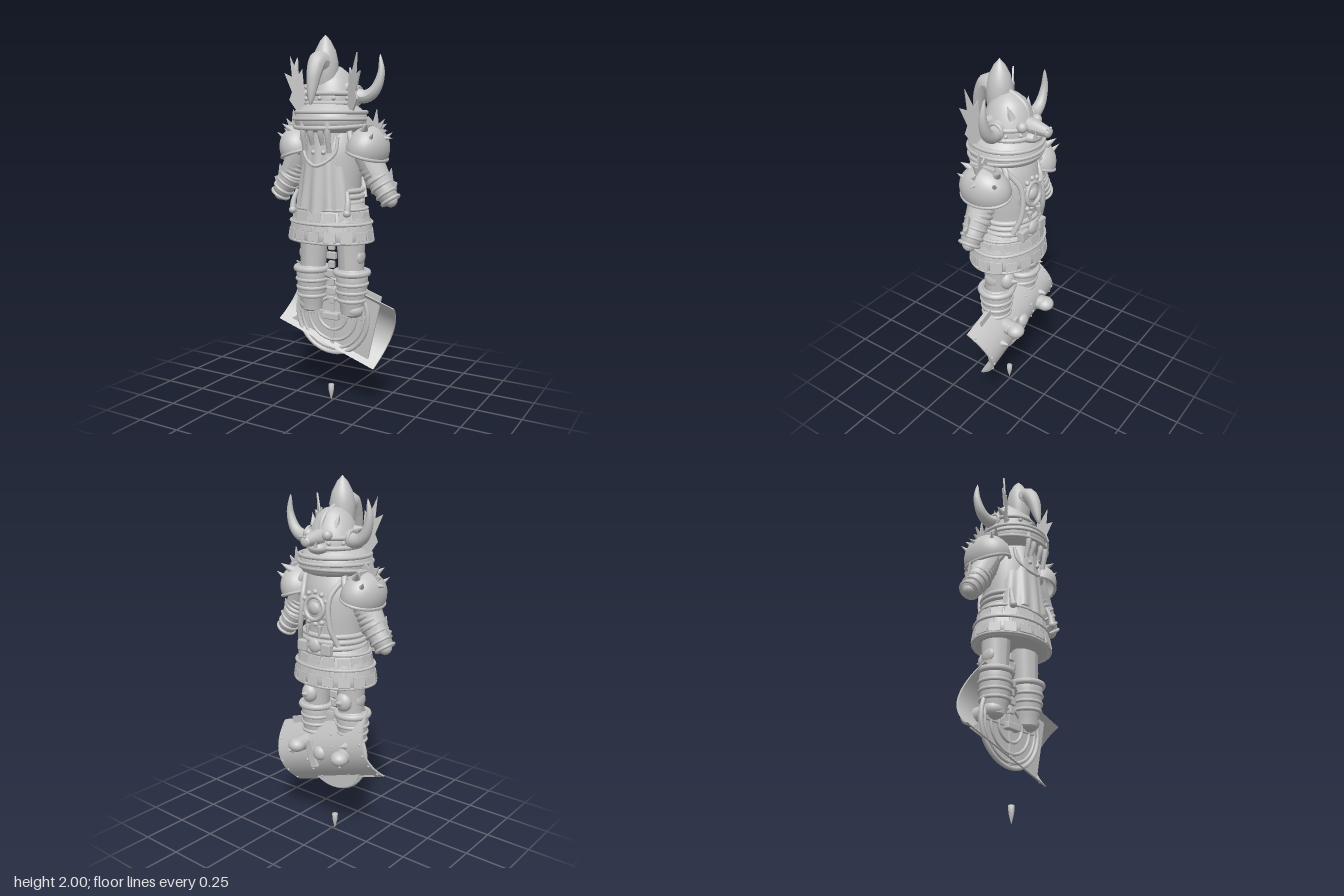
import * as THREE from 'three';
import { RoundedBoxGeometry } from 'three/addons/geometries/RoundedBoxGeometry.js';

const clay = new THREE.MeshStandardMaterial({ color: 0xc4c4c4, side: THREE.DoubleSide });
clay.name = 'clay grey';
const V = (x, y, z) => new THREE.Vector3(x, y, z);

export function createModel() {
  const root = new THREE.Group();
  root.name = 'hornedWarrior';

  const add = (name, geo, x = 0, y = 0, z = 0, parent = root) => {
    const m = new THREE.Mesh(geo, clay);
    m.name = name;
    m.position.set(x, y, z);
    parent.add(m);
    return m;
  };
  const group = (name, parent = root) => {
    const g = new THREE.Group();
    g.name = name;
    parent.add(g);
    return g;
  };
  const ball = (name, r, x, y, z, p = root, sx = 1, sy = 1, sz = 1) => {
    const m = add(name, new THREE.SphereGeometry(r, 20, 14), x, y, z, p);
    m.scale.set(sx, sy, sz);
    return m;
  };
  const lathe = (name, pts, x, y, z, p = root, sx = 1, sz = 1) => {
    const m = add(name, new THREE.LatheGeometry(pts.map(q => new THREE.Vector2(...q)), 40), x, y, z, p);
    m.scale.set(sx, 1, sz);
    return m;
  };
  const ring = (name, R, r, x, y, z, p = root, sx = 1, sz = 1) => {
    const g = new THREE.TorusGeometry(R, r, 8, 40).rotateX(Math.PI / 2);
    const m = add(name, g, x, y, z, p);
    m.scale.set(sx, 1, sz);
    return m;
  };
  const box = (name, w, h, d, x, y, z, p = root) =>
    add(name, new RoundedBoxGeometry(w, h, d, 1, Math.min(w, h, d) * 0.2), x, y, z, p);
  // Cone standing at a point and aimed along a direction
  const spike = (name, r, len, pos, dir, p = root) => {
    const m = add(name, new THREE.ConeGeometry(r, len, 12).translate(0, len / 2, 0), pos.x, pos.y, pos.z, p);
    m.quaternion.setFromUnitVectors(V(0, 1, 0), dir.clone().normalize());
    return m;
  };
  // Tube whose radius follows a rule along its path
  const taper = (name, pts, radius, p = root) => {
    const n = 24, s = 14;
    const curve = new THREE.CatmullRomCurve3(pts.map(q => V(...q)));
    const g = new THREE.TubeGeometry(curve, n, 1, s);
    const a = g.attributes.position, v = V(0, 0, 0);
    for (let i = 0; i <= n; i++) {
      const c = curve.getPointAt(i / n);
      for (let j = 0; j <= s; j++) {
        const k = i * (s + 1) + j;
        v.fromBufferAttribute(a, k).sub(c).multiplyScalar(radius(i / n)).add(c);
        a.setXYZ(k, v.x, v.y, v.z);
      }
    }
    g.computeVertexNormals();
    return add(name, g, 0, 0, 0, p);
  };
  const plate = (pts, depth) => new THREE.ExtrudeGeometry(
    new THREE.Shape(pts.map(q => new THREE.Vector2(...q))), { depth, bevelEnabled: false }).translate(0, 0, -depth / 2);

  // Torso and waist wraps
  lathe('torso', [[0.001, 1.0], [0.145, 1.0], [0.145, 1.12], [0.15, 1.25], [0.16, 1.38], [0.14, 1.48], [0.1, 1.55]], -0.01, 0, 0.01, root, 1.1, 0.97);
  for (let i = 0; i < 4; i++) ring('waistBand', 0.15, 0.014, -0.01, 1.1 + i * 0.032, 0.01, root, 1.13, 1);

  // Flared skirt with rows of thin plates
  lathe('skirt', [[0.145, 1.13], [0.162, 1.09], [0.178, 1.03], [0.188, 0.97], [0.188, 0.925], [0.165, 0.92], [0.001, 0.95]], -0.01, 0, 0.016, root, 1.27, 1);
  [[0.181, 1.025], [0.187, 0.928], [0.16, 1.1]].forEach(([r, y]) => ring('skirtTrim', r, 0.008, -0.01, y, 0.016, root, 1.27, 1));
  for (let row = 0; row < 3; row++) {
    for (let i = 0; i < 16; i++) {
      const a = (i + row * 0.5) / 16 * Math.PI * 2, r = 0.186 - row * 0.01;
      const m = box('skirtPlate', 0.066, 0.05 + (i % 3) * 0.006, 0.012, Math.sin(a) * r * 1.26 - 0.01, 0.96 + row * 0.05, Math.cos(a) * r + 0.016);
      m.rotation.set(-0.15, Math.atan2(Math.sin(a), Math.cos(a) * 1.26), 0, 'YXZ');
    }
  }

  // Draped cape with folds and a round collar
  const cape = new THREE.CylinderGeometry(0.15, 0.19, 0.43, 48, 10, true, -1.1, 2.2);
  const cp = cape.attributes.position;
  for (let i = 0; i < cp.count; i++) {
    const x = cp.getX(i), y = cp.getY(i), z = cp.getZ(i), t = (0.215 - y) / 0.43;
    const a = Math.atan2(x, z), f = 1 + 0.045 * t * Math.cos(a * 14);
    cp.setXYZ(i, x * f * (0.82 + 0.2 * t), y - (t > 0.9 ? 0.015 * Math.cos(a * 7) : 0), z * f);
  }
  cape.computeVertexNormals();
  add('cape', cape, -0.01, 1.31, 0.008);
  taper('capeCollar', [[-0.11, 1.48, 0.12], [-0.1, 1.39, 0.14], [-0.01, 1.33, 0.18], [0.08, 1.39, 0.14], [0.09, 1.48, 0.12]], () => 0.009);
  for (const s of [-1, 1]) {
    taper('hangingTassel', [[s * 0.15, 1.2, 0.13], [s * 0.165, 1.14, 0.15], [s * 0.165, 1.08, 0.16]], t => 0.01 + 0.008 * t);
    ball('tasselBead', 0.02, s * 0.165, 1.09, 0.16);
    ball('capeStud', 0.013, s * 0.03, 1.4, 0.165);
  }

  // Chest ornament on the breastplate
  const chest = group('chestOrnament');
  ball('breastplate', 0.14, -0.005, 1.34, -0.02, chest, 1, 1.1, 0.95);
  const medal = add('medallionRing', new THREE.TorusGeometry(0.06, 0.012, 8, 30), 0, 1.34, -0.145, chest);
  medal.rotation.x = 0.1;
  ball('medallion', 0.04, 0, 1.34, -0.135, chest, 1, 1, 0.7);
  for (let i = 0; i < 12; i++) {
    const a = i / 12 * Math.PI * 2;
    ball('medallionBead', 0.014, Math.cos(a) * 0.085, 1.34 + Math.sin(a) * 0.085, -0.135, chest);
  }
  for (const s of [-1, 1]) {
    taper('chestStrap', [[s * 0.13, 1.5, -0.06], [s * 0.09, 1.4, -0.13], [s * 0.1, 1.25, -0.14], [s * 0.13, 1.15, -0.11]], () => 0.014, chest);
    box('beltPouch', 0.06, 0.06, 0.04, s * 0.08, 1.13, -0.14, chest);
    spike('chestTooth', 0.015, 0.07, V(s * 0.04, 1.25, -0.15), V(0, -1, -0.1), chest);
  }
  ball('beltBuckle', 0.04, 0, 1.14, -0.145, chest, 1, 1, 0.5);

  // Helmet: neck guard, bands, dome and hanging strands
  const helmet = group('helmet');
  lathe('neckGuard', [[0.13, 1.5], [0.178, 1.52], [0.193, 1.55], [0.19, 1.59], [0.165, 1.62], [0.13, 1.65]], -0.005, 0, 0.027, helmet);
  ring('lowerRim', 0.188, 0.011, -0.005, 1.535, 0.03, helmet).rotation.x = 0.06;
  ring('middleRim', 0.195, 0.009, -0.005, 1.57, 0.027, helmet);
  ring('upperRim', 0.187, 0.011, -0.005, 1.605, 0.022, helmet);
  lathe('dome', [[0.14, 1.6], [0.148, 1.66], [0.14, 1.7], [0.12, 1.76], [0.09, 1.81], [0.05, 1.84], [0.001, 1.85]], -0.005, 0, 0.01, helmet, 0.93, 0.95);
  ring('helmetBand', 0.139, 0.012, -0.005, 1.65, 0.01, helmet);
  ring('browBand', 0.134, 0.012, -0.005, 1.7, 0.01, helmet);
  for (let i = 0; i < 12; i++) {
    const a = i / 12 * Math.PI * 2;
    ball('rivet', 0.011, Math.sin(a) * 0.142, 1.675, 0.01 + Math.cos(a) * 0.142, helmet);
  }
  [[-0.075, 1.41], [-0.03, 1.44], [0.03, 1.44], [0.07, 1.4]].forEach(([x, y]) =>
    taper('neckStrand', [[x, 1.56, 0.19], [x, 1.5, 0.195], [x, y, 0.175]], t => 0.018 - 0.006 * t, helmet));

  // Crest bulb and thick curling plume
  lathe('crestBulb', [[0.05, 1.7], [0.066, 1.78], [0.068, 1.86], [0.054, 1.92], [0.028, 1.97], [0.001, 2.0]], -0.012, 0, 0.07, helmet);
  taper('plume', [[-0.012, 1.85, 0.09], [-0.012, 1.865, 0.14], [-0.012, 1.81, 0.18], [-0.012, 1.73, 0.203], [-0.012, 1.64, 0.222]],
    t => 0.055 * Math.pow(1 - t, 0.6) + 0.001, helmet);
  taper('crestRidge', [[-0.01, 1.72, -0.11], [-0.01, 1.8, -0.08], [-0.01, 1.86, 0.03]], () => 0.013, helmet);

  for (const s of [-1, 1]) {
    // Horns with collars, and the spiked side fins
    taper('horn', [[s * 0.08, 1.71, 0], [s * 0.17, 1.685, -0.02], [s * 0.225, 1.715, -0.025], [s * 0.26, 1.8, -0.03], [s * 0.252, 1.9, -0.035]],
      t => 0.043 * Math.pow(1 - t, 0.65) + 0.001, helmet);
    ring('hornCollar', 0.04, 0.01, s * 0.14, 1.695, -0.01, helmet).rotation.z = Math.PI / 2;
    const fin = add('sideFin', plate([[0, 0], [0.05, 0], [0.09, 0.06], [0.075, 0.1], [0.115, 0.2], [0.075, 0.18], [0.085, 0.29], [0.04, 0.19], [0.02, 0.22]], 0.009), s * 0.125, 1.61, 0.08, helmet);
    fin.rotation.y = s > 0 ? -0.5 : Math.PI + 0.5;
    spike('domeSpike', 0.028, 0.07, V(s * 0.11, 1.73, 0.045), V(s, 0.3, 0.1), helmet);
    // Boar mask features
    ball('maskEye', 0.027, s * 0.063, 1.715, -0.115, helmet);
    spike('maskEar', 0.022, 0.07, V(s * 0.07, 1.75, -0.06), V(s * 0.3, 1, 0.2), helmet);
    spike('maskTusk', 0.012, 0.05, V(s * 0.03, 1.66, -0.17), V(s * 0.25, 1, -0.2), helmet);
    ball('nostril', 0.007, s * 0.012, 1.715, -0.23, helmet);
  }
  taper('snout', [[-0.01, 1.7, -0.08], [-0.01, 1.7, -0.14], [-0.01, 1.69, -0.22]], t => 0.05 - 0.025 * t, helmet);
  ball('snoutTip', 0.03, -0.01, 1.69, -0.22, helmet, 1, 0.85, 0.5);
  ball('maskJaw', 0.055, -0.01, 1.65, -0.12, helmet, 1, 0.6, 1);

  for (const s of [-1, 1]) {
    // Broad pauldrons with spikes, a top bar and a jagged fan
    const sh = group('pauldron');
    const cap = add('shoulderCap', new THREE.SphereGeometry(0.125, 30, 14, 0, Math.PI * 2, 0, 1.85), s * 0.205, 1.41, 0.005, sh);
    cap.scale.set(0.86, 1.02, 1.14);
    cap.rotation.z = s * -0.3;
    const rim = ring('shoulderRim', 0.12, 0.009, s * 0.2, 1.385, 0.005, sh, 0.86, 1.14);
    rim.rotation.z = s * -0.3;
    ring('shoulderRoll', 0.09, 0.015, s * 0.155, 1.45, 0.005, sh).rotation.z = s * -1.2;
    for (const z of [-1, 1]) {
      spike('shoulderSpike', 0.025, 0.075, V(s * 0.215, 1.505, z * 0.07), V(s * 0.6, 0.6, z * 0.7), sh);
      spike('shoulderSpike', 0.014, 0.05, V(s * 0.26, 1.47, z * 0.09), V(s * 0.5, 0.5, z * 0.4), sh);
    }
    spike('shoulderSpike', 0.02, 0.07, V(s * 0.275, 1.47, 0), V(s, 0.05, 0), sh);
    box('shoulderBar', 0.02, 0.03, 0.15, s * 0.222, 1.53, 0.005, sh);
    const fan = add('shoulderFan', plate([[-0.03, 0], [0.06, -0.04], [0.1, 0.0], [0.065, 0.005], [0.085, 0.055], [0.05, 0.03], [0.04, 0.105], [0.02, 0.04], [-0.01, 0.07]], 0.009), s * 0.215, 1.515, 0.005, sh);
    if (s < 0) fan.rotation.y = Math.PI;

    // Arm, stacked cuffs and hand
    const arm = group('arm');
    taper('sleeve', [[s * 0.19, 1.42, 0.005], [s * 0.23, 1.34, 0.01], [s * 0.3, 1.22, 0.01]], t => 0.078 - 0.02 * t, arm);
    for (let i = 0; i < 4; i++) ring('sleeveRoll', 0.055, 0.014, s * (0.225 + i * 0.014), 1.335 - i * 0.024, 0.008, arm).rotation.z = s * 0.53;
    const cuff = group('cuff', arm);
    cuff.position.set(s * 0.298, 1.215, 0.01);
    cuff.rotation.z = s * 0.62;
    lathe('bracer', [[0.001, -0.085], [0.048, -0.085], [0.054, -0.03], [0.062, 0.03], [0.058, 0.06]], 0, 0, 0, cuff);
    [-0.075, -0.035, 0.01, 0.05].forEach((y, i) => ring('cuffBand', 0.05 + i * 0.004, 0.009, 0, y, 0, cuff));
    ball('fist', 0.036, 0, -0.075, 0, cuff);
    const fin = add('cuffFin', plate([[0.05, -0.05], [0.085, -0.02], [0.07, 0], [0.1, 0.06], [0.07, 0.045], [0.08, 0.11], [0.05, 0.05]], 0.009), 0, 0, 0, cuff);
    if (s < 0) fin.rotation.y = Math.PI;

    // Leg, knee guard, boot and shoe
    const leg = group('leg');
    taper('thigh', [[s * 0.116 - 0.01, 0.97, 0.005], [s * 0.118 - 0.01, 0.85, 0.005], [s * 0.122 - 0.01, 0.7, 0.008]], t => 0.08 - 0.012 * t, leg);
    ball('kneeGuard', 0.048, s * 0.12 - 0.01, 0.83, -0.06, leg, 1, 1.1, 0.8);
    spike('kneeSpike', 0.02, 0.05, V(s * 0.12 - 0.01, 0.83, -0.085), V(0, 0.3, -1), leg);
    ball('kneeDisc', 0.04, s * 0.18 - 0.01, 0.835, 0.01, leg, 0.4, 1, 1);
    lathe('boot', [[0.06, 0.52], [0.066, 0.57], [0.08, 0.62], [0.086, 0.7], [0.09, 0.75], [0.07, 0.77]], s * 0.126 - 0.01, 0, 0.01, leg);
    [0.6, 0.645, 0.69, 0.75].forEach((y, i) => ring('bootBand', 0.075 + i * 0.004, i === 3 ? 0.018 : 0.011, s * 0.126 - 0.01, y, 0.01, leg));
    ball('heel', 0.06, s * 0.138 - 0.01, 0.545, 0.012, leg, 1, 0.8, 1);
    taper('shoe', [[s * 0.14 - 0.01, 0.545, 0.02], [s * 0.146 - 0.01, 0.535, -0.06], [s * 0.15 - 0.01, 0.535, -0.13]], t => 0.05 - 0.008 * t, leg);
    ball('toeCap', 0.05, s * 0.152 - 0.01, 0.535, -0.137, leg, 1, 0.8, 1);
  }

  // Hanging strap between the legs
  for (let i = 0; i < 7; i++) box('strapLink', 0.035 + (i % 2) * 0.02, 0.04, 0.025, -0.01, 0.88 - i * 0.05, 0.01);

  // Tilted shield, bowed across its height
  const shield = group('shield');
  shield.position.set(0.012, 0.505, 0);
  shield.rotation.z = -0.32;
  const bow = y => -0.095 + 0.115 * (y / 0.185) ** 2;
  const board = new THREE.BoxGeometry(0.637, 0.37, 0.014, 2, 20, 1);
  const bp = board.attributes.position;
  for (let i = 0; i < bp.count; i++) bp.setZ(i, bp.getZ(i) + bow(bp.getY(i)));
  board.computeVertexNormals();
  add('shieldBoard', board, 0, 0, 0, shield);
  for (const x of [-0.305, -0.1, 0.1, 0.305])
    for (let i = 0; i < 6; i++) ball('shieldRivet', 0.007, x, -0.16 + i * 0.064, bow(-0.16 + i * 0.064) - 0.007, shield);
  ball('shieldBoss', 0.042, 0, 0, bow(0), shield, 1, 1, 0.7);
  box('shieldBar', 0.05, 0.16, 0.02, 0.06, 0, -0.095, shield);
  for (const x of [-0.2, 0.2]) spike('shieldTooth', 0.022, 0.05, V(x, 0.03, bow(0.03)), V(0, 0.2, -1), shield);

  // Round frame and crossed plank behind the shield
  const hoop = group('roundFrame');
  hoop.position.set(-0.01, 0.5, 0.005);
  [[0.222, 0.012], [0.195, 0.009], [0.15, 0.009], [0.09, 0.009]].forEach(([r, t]) => add('frameHoop', new THREE.TorusGeometry(r, t, 8, 48), 0, 0, 0, hoop));
  add('frameDisc', new THREE.CylinderGeometry(0.22, 0.22, 0.012, 48), 0, 0, -0.015, hoop).rotation.x = Math.PI / 2;
  for (let i = 0; i < 2; i++) box('frameSpoke', 0.025, 0.42, 0.012, 0, 0, 0, hoop).rotation.z = i * Math.PI / 2;
  box('frameGrip', 0.1, 0.04, 0.04, 0, -0.01, 0.01, hoop);
  add('crossedPlank', plate([[-0.29, -0.08], [0.22, -0.23], [0.3, 0.13], [0.12, 0.19]], 0.008), 0, 0, -0.01, hoop);

  // Small pointed tip at the ground
  lathe('groundTip', [[0.001, 0], [0.008, 0.025], [0.014, 0.05], [0.017, 0.09], [0.001, 0.093]], -0.012, 0, 0.013);
  return root;
}
